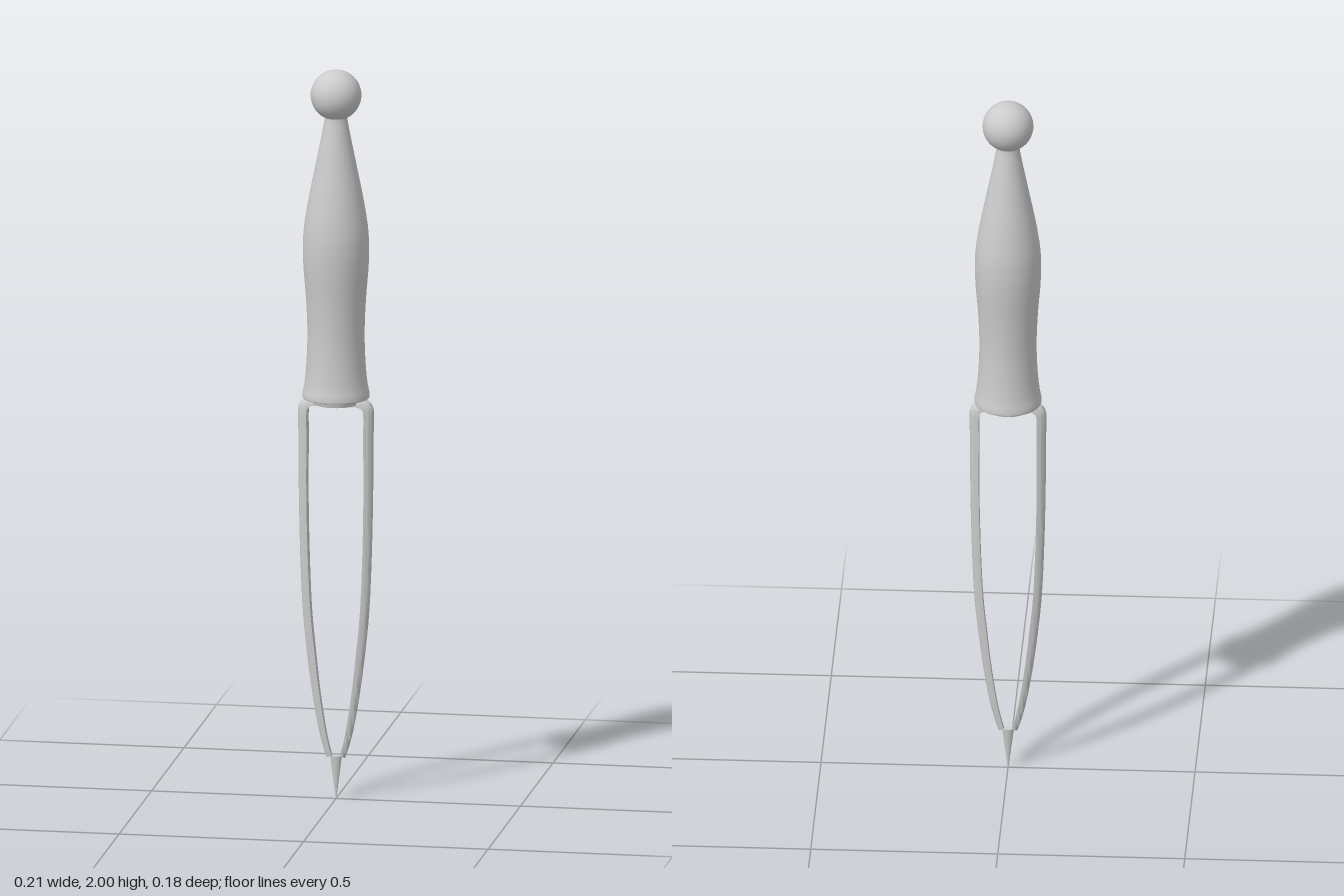
import * as THREE from 'three';
import { mergeVertices, toCreasedNormals } from 'three/addons/utils/BufferGeometryUtils.js';

const material = new THREE.MeshStandardMaterial({ color: 0xcccccc });

function part(name, geometry, y = 0) {
  const mesh = new THREE.Mesh(geometry, material);
  mesh.name = name;
  mesh.position.y = y;
  return mesh;
}

// Half-round bar swept along its flat inner edge, tapering to the tip.
// Stations: [x, y, thickness, half width in z]
function prongGeometry() {
  const stations = [
    [0, 1.08, 0.025, 0.0195], [0.058, 1.08, 0.025, 0.0195], [0.069, 1.077, 0.026, 0.0195],
    [0.075, 1.07, 0.027, 0.0195], [0.077, 1.058, 0.026, 0.0195], [0.077, 1.0, 0.025, 0.0195],
    [0.077, 0.8, 0.023, 0.018], [0.0715, 0.6, 0.023, 0.0155], [0.066, 0.5, 0.023, 0.0145],
    [0.056, 0.4, 0.023, 0.013], [0.045, 0.3, 0.021, 0.0115], [0.03, 0.2, 0.019, 0.01],
    [0.021, 0.155, 0.017, 0.009], [0.011, 0.117, 0.015, 0.008],
  ];
  const samples = 90, arc = 14, ring = arc + 1;
  const path = new THREE.CatmullRomCurve3(stations.map(([x, y]) => new THREE.Vector3(x, y, 0)), false, 'centripetal');
  const positions = [], index = [];
  for (let i = 0; i <= samples; i++) {
    const u = i / samples, k = u * (stations.length - 1);
    const a = Math.min(Math.floor(k), stations.length - 2), f = k - a;
    const size = (c) => THREE.MathUtils.lerp(stations[a][c], stations[a + 1][c], f);
    const p = path.getPoint(u), t = path.getTangent(u);
    for (let j = 0; j <= arc; j++) {
      const angle = Math.PI * (j / arc - 0.5), out = size(2) * Math.cos(angle);
      positions.push(p.x - t.y * out, p.y + t.x * out, size(3) * Math.sin(angle));
    }
  }
  for (let i = 0; i < samples; i++) {
    for (let j = 0; j < ring; j++) {
      const a = i * ring + j, b = i * ring + (j + 1) % ring;
      index.push(a, b, a + ring, b, b + ring, a + ring);
    }
  }
  // Blunt lower end
  const end = samples * ring;
  for (let j = 1; j < arc; j++) index.push(end, end + j, end + j + 1);
  const geometry = new THREE.BufferGeometry();
  geometry.setAttribute('position', new THREE.Float32BufferAttribute(positions, 3));
  geometry.setIndex(index);
  return toCreasedNormals(mergeVertices(geometry), 0.7);
}

export function createModel() {
  const model = new THREE.Group();
  model.name = 'tool';

  // Ball on the end of the handle
  model.add(part('ballEnd', new THREE.SphereGeometry(0.068, 40, 28), 1.932));

  // Turned handle
  const profile = [
    [0.09, 1.106], [0.089, 1.118], [0.084, 1.145], [0.079, 1.2], [0.0765, 1.28], [0.08, 1.37],
    [0.087, 1.46], [0.0885, 1.52], [0.085, 1.575], [0.073, 1.65], [0.054, 1.745],
    [0.039, 1.82], [0.031, 1.865], [0.031, 1.885],
  ].map(([r, y]) => new THREE.Vector2(r, y));
  const outline = new THREE.SplineCurve(profile).getPoints(60);
  model.add(part('handle', new THREE.LatheGeometry(outline, 48)));

  // Rounded rim closing the base of the handle
  const rim = [[0, 1.102], [0.086, 1.102], [0.089, 1.103], [0.09, 1.106]]
    .map(([r, y]) => new THREE.Vector2(r, y));
  model.add(part('handleBase', toCreasedNormals(new THREE.LatheGeometry(rim, 48), 0.6)));

  // Fixing disc under the handle
  model.add(part('fixingDisc', new THREE.CylinderGeometry(0.064, 0.06, 0.018, 32), 1.095));

  // Pair of bowed prongs
  const prong = prongGeometry();
  for (const side of [1, -1]) {
    const mesh = part(side > 0 ? 'leftProng' : 'rightProng', prong);
    if (side < 0) mesh.rotation.y = Math.PI;
    model.add(mesh);
  }

  // Needle point where the prongs meet
  const needle = new THREE.CylinderGeometry(0.016, 0.001, 0.118, 24);
  needle.scale(1, 1, 0.65);
  model.add(part('needlePoint', needle, 0.059));

  return model;
}
